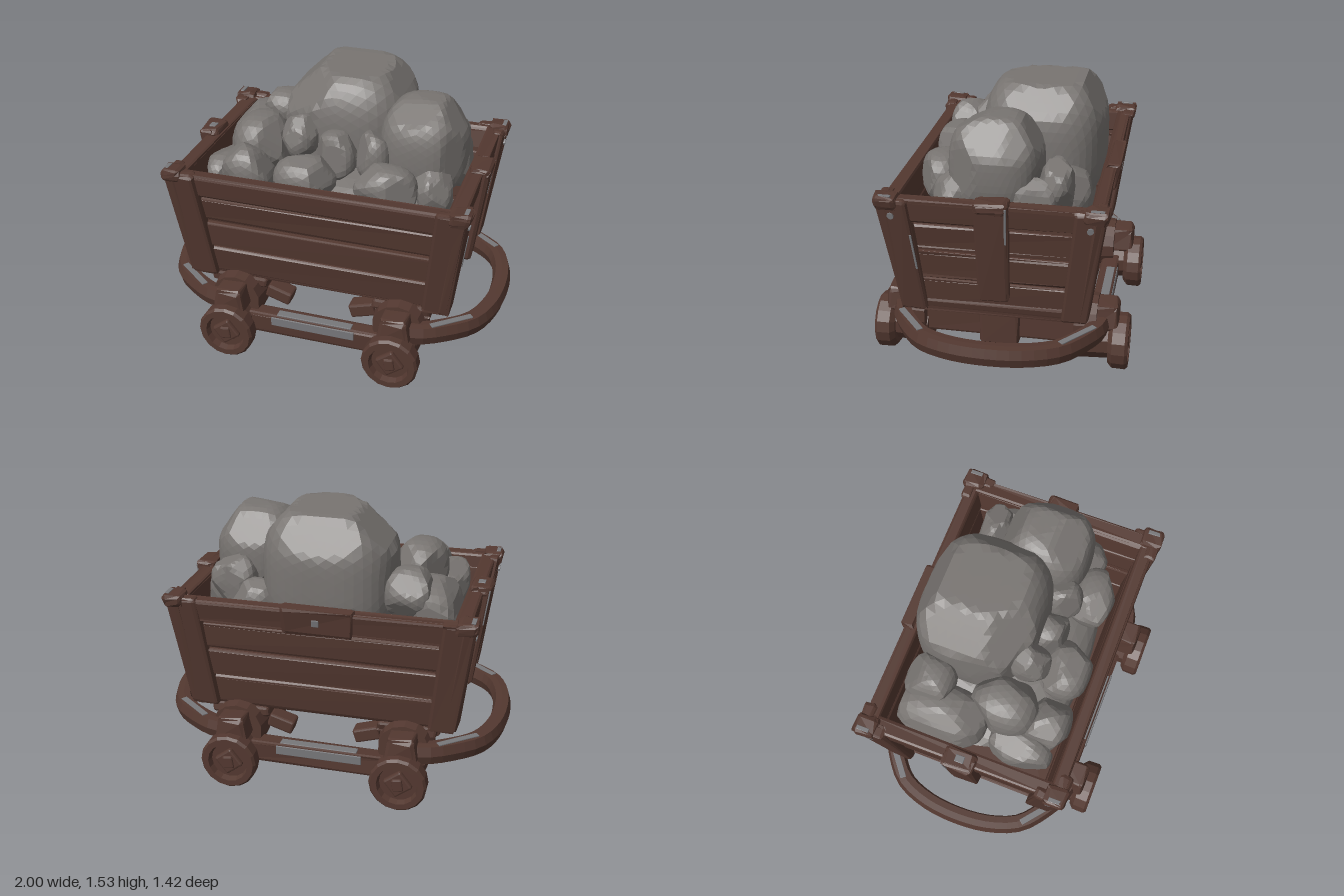
import * as THREE from 'three';
import { RoundedBoxGeometry } from 'three/addons/geometries/RoundedBoxGeometry.js';

const mat = (name, color) => {
  const m = new THREE.MeshStandardMaterial({ color, flatShading: true });
  m.name = name;
  return m;
};

// Moves every vertex of a geometry by a rule
function warp(geo, rule) {
  const p = geo.attributes.position, v = new THREE.Vector3();
  for (let i = 0; i < p.count; i++) {
    rule(v.fromBufferAttribute(p, i));
    p.setXYZ(i, v.x, v.y, v.z);
  }
  geo.computeVertexNormals();
  return geo;
}

// Position-based wobble, so shared corners stay together
const hash = (v, k) => {
  const s = Math.sin(Math.round(v.x * 50) * 12.9 + Math.round(v.y * 50) * 78.2 + Math.round(v.z * 50) * 37.7 + k) * 4375.5;
  return s - Math.floor(s) - 0.5;
};
const wobble = v => {
  const a = hash(v, 1), b = hash(v, 2), c = hash(v, 3);
  v.x += a * 0.012; v.y += b * 0.012; v.z += c * 0.012;
};

// The hopper narrows towards its floor
const taper = v => {
  const t = THREE.MathUtils.clamp((v.y - 0.4) / 0.68, 0, 1.1);
  v.x *= 0.89 + 0.11 * t;
  v.z *= 0.84 + 0.16 * t;
};

export function createModel() {
  const model = new THREE.Group();
  model.name = 'mineCart';
  const wood = mat('darkWood', 0x533830);
  const stone = mat('stone', 0x787471);
  const metal = mat('wornMetal', 0x77777a);

  const add = (name, geo, material, parent = model) => {
    const m = new THREE.Mesh(geo, material);
    m.name = name;
    parent.add(m);
    return m;
  };
  // Chamfered box given by its low and high corners
  const beamGeo = ([x0, x1], [y0, y1], [z0, z1], r = 0.016) =>
    new RoundedBoxGeometry(x1 - x0, y1 - y0, z1 - z0, 1, r)
      .translate((x0 + x1) / 2, (y0 + y1) / 2, (z0 + z1) / 2);
  const beam = (name, x, y, z, parent) => add(name, warp(beamGeo(x, y, z), wobble), wood, parent);
  const span = (s, a, b) => (s > 0 ? [a, b] : [-b, -a]);

  // ---- Hopper ----
  const hopper = new THREE.Group();
  hopper.name = 'hopper';
  model.add(hopper);
  const board = (name, x, y, z, material = wood, r = 0.016) =>
    add(name, warp(beamGeo(x, y, z, r), v => { if (material === wood) wobble(v); taper(v); }), material, hopper);

  const rows = [[0.41, 0.585], [0.597, 0.758], [0.772, 0.923]];
  for (const s of [1, -1]) {
    rows.forEach((y, i) => {
      const d = (i % 2) * 0.008;
      board('longPlank', [-0.76, 0.76], y, span(s, 0.5, 0.558 + d));
      board('endPlank', span(s, 0.73, 0.79 + d), y, [-0.52, 0.52]);
    });
    board('longBacking', [-0.76, 0.76], [0.42, 1.0], span(s, 0.505, 0.53));
    board('endBacking', span(s, 0.735, 0.765), [0.42, 1.0], [-0.52, 0.52]);
    board('longRim', [-0.78, 0.78], [0.935, 1.07], span(s, 0.5, 0.58));
    board('endRim', span(s, 0.73, 0.82), [0.935, 1.075], [-0.54, 0.54]);
    // strap folded over the end wall
    board('endStrap', span(s, 0.77, 0.855), [0.5, 1.1], [-0.095, 0.085]);
    board('strapFold', span(s, 0.735, 0.86), [1.03, 1.1], [-0.095, 0.085], wood, 0.025);
    board('strapWear', span(s, 0.847, 0.856), [0.87, 1.08], [-0.09, -0.078], metal, 0.002);
    for (const t of [1, -1]) {
      // L-shaped corner post with cap
      board('cornerPost', span(s, 0.67, 0.848), [0.4, 1.08], span(t, 0.53, 0.6), wood, 0.02);
      board('cornerPost', span(s, 0.77, 0.848), [0.4, 1.08], span(t, 0.43, 0.6), wood, 0.02);
      board('cornerCap', span(s, 0.74, 0.86), [1.02, 1.098], span(t, 0.48, 0.608), wood, 0.025);
      board('capWear', span(s, 0.815, 0.838), [1.092, 1.1], span(t, 0.51, 0.58), metal, 0.002);
      const bolt = new THREE.CylinderGeometry(0.018, 0.018, 0.012, 8).rotateZ(Math.PI / 2)
        .translate(0.851 * s, 0.99, 0.525 * t);
      add('postBolt', warp(bolt, taper), metal, hopper);
    }
  }
  board('floor', [-0.8, 0.8], [0.4, 0.46], [-0.55, 0.55]);
  board('backPlate', [-0.2, 0.19], [0.93, 1.085], [-0.6, -0.52]);
  board('plateBolt', [-0.02, 0.02], [0.99, 1.03], [-0.606, -0.597], metal, 0.003);
  board('strapBolt', [-0.815, -0.775], [1.095, 1.104], [-0.025, 0.025], metal, 0.003);
  board('postWear', [0.842, 0.851], [0.67, 0.88], [0.435, 0.447], metal, 0.002);

  // ---- Undercarriage ----
  const chassis = new THREE.Group();
  chassis.name = 'chassis';
  model.add(chassis);
  beam('spine', [-0.5, 0.5], [0.24, 0.34], [-0.09, 0.09], chassis);

  const wheelProfile = [[0, 0], [0.13, 0], [0.158, 0.025], [0.16, 0.095], [0.148, 0.11], [0.115, 0.11], [0.105, 0.075], [0, 0.075]]
    .map(p => new THREE.Vector2(...p));
  const zCylinder = (r0, r1, len, sides) => new THREE.CylinderGeometry(r0, r1, len, sides).rotateX(Math.PI / 2);

  for (const s of [1, -1]) {
    const x = 0.48 * s;
    beam('axleBeam', [x - 0.09, x + 0.09], [0.17, 0.37], [-0.43, 0.43], chassis);
    beam('axleBlock', [x - 0.13, x + 0.13], [0.14, 0.35], [-0.11, 0.11], chassis);
    beam('bolster', [x - 0.17, x + 0.17], [0.34, 0.41], [-0.47, 0.47], chassis);

    // curved bumper at each end, flattened above and below
    const half = [[0.44, 0.555], [0.6, 0.545], [0.74, 0.47], [0.86, 0.365], [0.927, 0.2]];
    const path = [...half, [0.948, 0], ...half.slice().reverse().map(([a, b]) => [a, -b])]
      .map(([a, b]) => new THREE.Vector3(a * s, 0, b));
    const tube = new THREE.TubeGeometry(new THREE.CatmullRomCurve3(path), 28, 0.052, 8);
    add('bumper', warp(tube, v => {
      v.y = 0.292 + THREE.MathUtils.clamp(v.y * 1.4, -0.054, 0.054);
    }), wood, chassis);

    for (const t of [1, -1]) {
      const corner = new THREE.Group();
      corner.name = 'wheelAssembly';
      corner.position.set(x, 0, 0);
      if (t < 0) corner.rotation.y = Math.PI;
      chassis.add(corner);
      add('wheel', new THREE.LatheGeometry(wheelProfile, 16).rotateX(Math.PI / 2).translate(0, 0.16, 0.6), wood, corner);
      const hub = add('hub', new RoundedBoxGeometry(0.12, 0.12, 0.05, 1, 0.012), wood, corner);
      hub.position.set(0, 0.16, 0.675);
      hub.rotation.z = 0.65;
      const pin = add('hubPin', new RoundedBoxGeometry(0.06, 0.075, 0.04, 1, 0.01), wood, corner);
      pin.position.set(0, 0.16, 0.69);
      pin.rotation.z = 0.15;
      add('axleHousing', zCylinder(0.115, 0.125, 0.2, 10).translate(0, 0.175, 0.51), wood, corner);
      add('axleArch', zCylinder(0.145, 0.16, 0.12, 14).translate(0, 0.285, 0.475), wood, corner);
      // bracket over the wheel, narrower at its top
      const bracket = beamGeo([-0.095, 0.095], [0.26, 0.405], [0.48, 0.65], 0.025);
      add('wheelBracket', warp(bracket, v => { v.x *= v.y > 0.33 ? 0.8 : 1; wobble(v); }), wood, corner);
      // small angled brace towards the middle
      const brace = add('brace', new RoundedBoxGeometry(0.15, 0.08, 0.1, 1, 0.012), wood, chassis);
      brace.position.set(0.25 * s, 0.295, 0.4 * t);
      brace.rotation.z = 0.3 * s;
      // worn patch on top of the bumper shoulder
      const wear = add('bumperWear', new RoundedBoxGeometry(0.25, 0.009, 0.035, 1, 0.002), metal, chassis);
      wear.position.set(0.765 * s, 0.346, 0.455 * t);
      wear.rotation.y = s * t * 0.68;
    }
  }
  // side bars between the wheels, worn to metal in the middle
  for (const t of [1, -1]) {
    beam('sideBar', [-0.42, 0.42], [0.11, 0.235], span(t, 0.47, 0.57), chassis);
    add('sideBarWear', beamGeo([-0.25, 0.24], [0.175, 0.228], span(t, 0.567, 0.576), 0.003), metal, chassis);
    add('sideBarWearTop', beamGeo([-0.22, 0.22], [0.233, 0.242], span(t, 0.51, 0.56), 0.003), metal, chassis);
    add('sideBarWearInner', beamGeo([-0.24, 0.24], [0.13, 0.215], span(t, 0.463, 0.472), 0.003), metal, chassis);
  }

  // ---- Rock load ----
  const load = new THREE.Group();
  load.name = 'rockLoad';
  model.add(load);
  let seed = 11;
  const rand = () => (seed = (seed * 16807) % 2147483647) / 2147483647;
  // Blocky ellipsoid cut by random planes and by chosen ones, each [x, y, z, distance]
  function rock(name, [x, y, z], [a, b, c], cuts, low, detail, power, chosen = []) {
    const planes = chosen.map(([i, j, k, h]) => ({ n: new THREE.Vector3(i, j, k).normalize(), h }));
    for (let i = 0; i < cuts; i++) {
      const u = rand() * 2 - 1, f = rand() * Math.PI * 2, q = Math.sqrt(1 - u * u);
      planes.push({ n: new THREE.Vector3(q * Math.cos(f), u, q * Math.sin(f)), h: low + rand() * (1.02 - low) });
    }
    const geo = warp(new THREE.IcosahedronGeometry(1, detail), v => {
      v.normalize();
      let r = (Math.abs(v.x) ** power + Math.abs(v.y) ** power + Math.abs(v.z) ** power) ** (-1 / power);
      for (const { n, h } of planes) {
        const d = v.dot(n);
        if (d > 0) r = Math.min(r, h / d);
      }
      v.multiplyScalar(r).multiply(new THREE.Vector3(a, b, c));
    });
    add(name, geo, stone, load).position.set(x, y, z);
  }
  rock('largeBoulder', [0.005, 1.17, -0.165], [0.37, 0.4, 0.34], 8, 0.98, 8, 3,
    [[0, 1, 0, 0.9], [-0.7, 0.8, 0, 0.95], [1, 0.9, 0, 1.06], [-0.6, 0, 1, 1.0], [0, 0.7, -1, 1.03]]);
  rock('mediumBoulder', [0.48, 1.18, 0.025], [0.24, 0.285, 0.25], 10, 0.94, 7, 2.6,
    [[0.9, 0.8, 0, 0.96], [-0.1, 1, 0.1, 0.98], [0, 0.7, -1, 0.98]]);
  rock('rubbleBase', [0, 0.82, 0], [0.66, 0.22, 0.44], 12, 0.88, 5, 2.6);
  const small = [
    [[-0.57, 1.0, -0.2], [0.16, 0.17, 0.26]],
    [[-0.45, 1.12, -0.3], [0.14, 0.14, 0.14]],
    [[-0.43, 1.09, 0.12], [0.16, 0.19, 0.19]],
    [[-0.43, 1.03, 0.36], [0.15, 0.17, 0.13]],
    [[-0.6, 0.98, 0.27], [0.1, 0.13, 0.18]],
    [[-0.19, 1.2, 0.17], [0.1, 0.13, 0.11]],
    [[-0.11, 1.03, 0.35], [0.17, 0.14, 0.14]],
    [[0.03, 1.13, 0.2], [0.12, 0.14, 0.11]],
    [[0.24, 1.13, 0.2], [0.1, 0.17, 0.11]],
    [[0.34, 1.04, 0.35], [0.18, 0.14, 0.12]],
    [[0.58, 1.02, 0.22], [0.11, 0.15, 0.13]],
    [[0.54, 1.09, -0.3], [0.13, 0.16, 0.1]],
    [[0.4, 0.98, -0.36], [0.13, 0.16, 0.11]],
    [[0.64, 1.01, -0.18], [0.08, 0.16, 0.14]],
  ];
  for (const [p, r] of small) rock('smallRock', p, r, 14, 0.8, 4, 2.6);

  return model;
}
